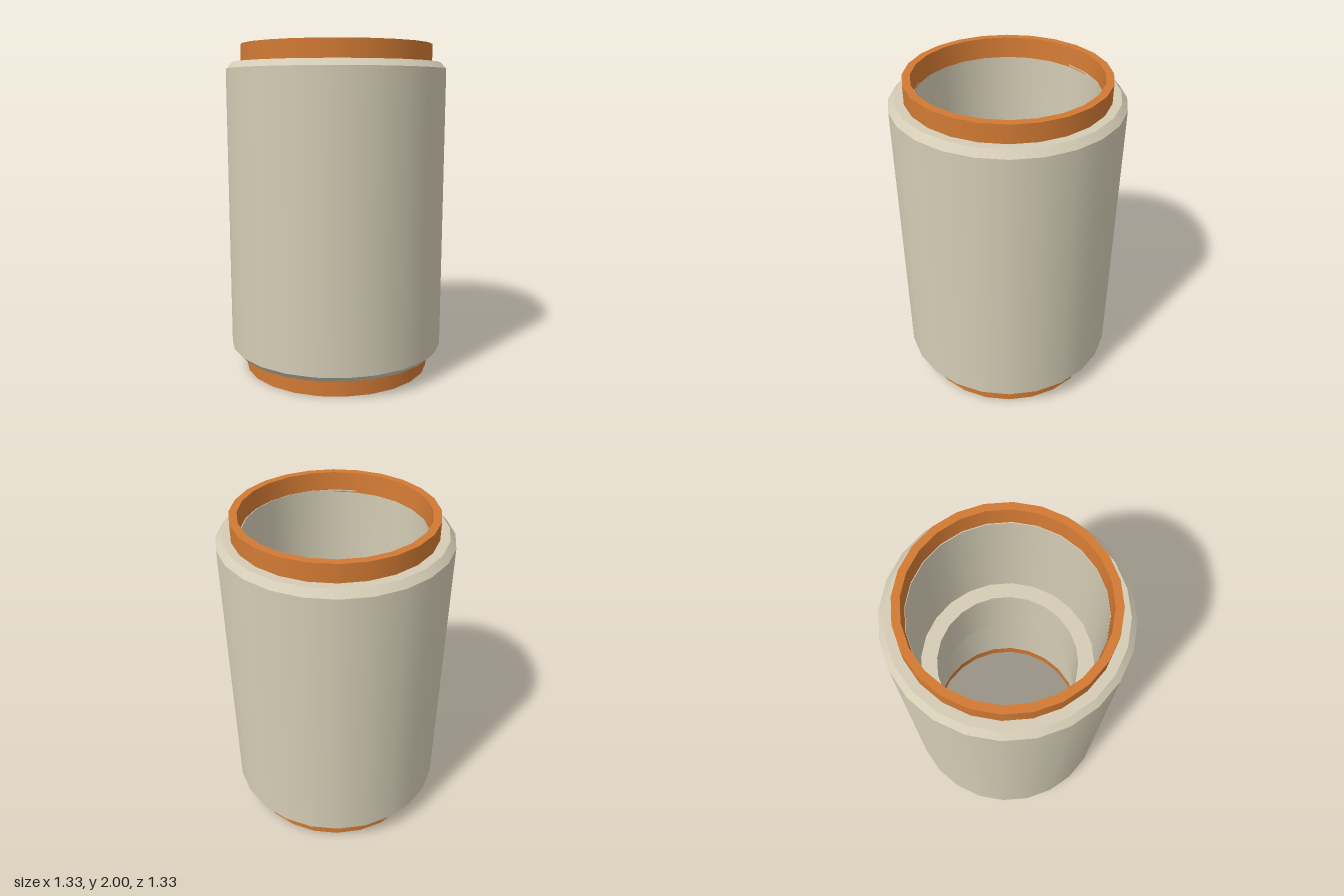
import * as THREE from 'three';
import { mergeGeometries } from 'three/addons/utils/BufferGeometryUtils.js';

const SIDES = 24;

// Revolve a profile, smooth around the axis but sharp at each profile corner.
// Profiles run up the outside, inward over the top and down the inside.
function revolve(profile) {
  const bands = [];
  for (let i = 0; i < profile.length - 1; i++) {
    const pair = [profile[i], profile[i + 1]].map(([r, y]) => new THREE.Vector2(r, y));
    bands.push(new THREE.LatheGeometry(pair, SIDES));
  }
  return mergeGeometries(bands);
}

export function createModel() {
  const group = new THREE.Group();
  const shell = new THREE.MeshStandardMaterial({ color: 0xd4ccb5 });
  shell.name = 'beige shell';
  const copper = new THREE.MeshStandardMaterial({ color: 0xd27a34 });
  copper.name = 'orange collar';

  const add = (name, profile, material) => {
    const mesh = new THREE.Mesh(revolve(profile), material);
    mesh.name = name;
    group.add(mesh);
    return mesh;
  };

  // Chamfered sleeve with a narrower ring inside its bore
  add('sleeve', [
    [0.523, 0.113], [0.63, 0.113], [0.665, 0.15],
    [0.665, 1.855], [0.63, 1.893], [0.523, 1.893],
    [0.523, 1.2], [0.426, 1.2], [0.426, 0.8], [0.523, 0.8], [0.523, 0.113],
  ], shell);

  // Collars at both ends, slightly flared on the inside
  const upper = [[0.578, 1.88], [0.578, 2], [0.533, 2], [0.524, 1.88]];
  const lower = upper.map(([r, y]) => [r, 2 - y]).reverse();
  for (const [name, profile] of [['upperCollar', upper], ['lowerCollar', lower]]) {
    add(name, profile, copper).position.set(0.0025, 0, -0.0025);
  }

  return group;
}
